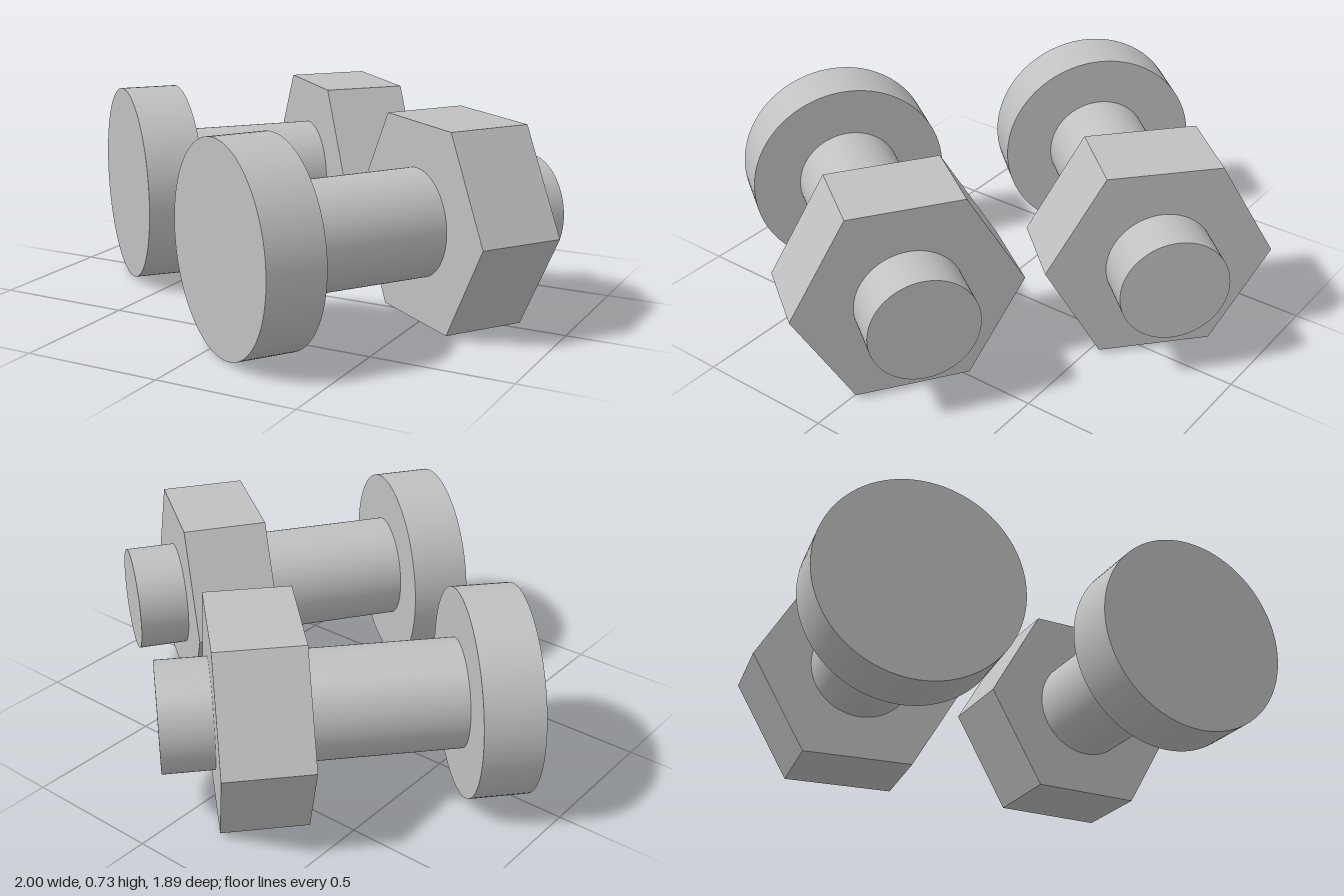
import * as THREE from 'three';

const steel = new THREE.MeshStandardMaterial({ color: 0xc0c0c0 });
steel.name = 'plain steel';

const AXIS_HEIGHT = 0.365;

// Disc or prism lying along z, from z0 to z1, with two corners pointing sideways
function barAlongZ(name, radius, z0, z1, sides, faceted = false) {
  let geometry = new THREE.CylinderGeometry(radius, radius, z1 - z0, sides, 1, false, Math.PI / 2);
  geometry.rotateX(Math.PI / 2);
  geometry.translate(0, 0, (z0 + z1) / 2);
  if (faceted) {
    geometry = geometry.toNonIndexed();
    geometry.computeVertexNormals();
  }
  const mesh = new THREE.Mesh(geometry, steel);
  mesh.name = name;
  return mesh;
}

// Bolt with its head face at (x, z), pointing along (dx, dz)
function makeBolt(name, x, z, dx, dz) {
  const bolt = new THREE.Group();
  bolt.name = name;
  bolt.add(
    barAlongZ('head', 0.364, 0, 0.207, 96),
    barAlongZ('shank', 0.191, 0.207, 1.229, 96),
    barAlongZ('hexNut', 0.404, 0.747, 1.05, 6, true)
  );
  bolt.position.set(x, AXIS_HEIGHT, z);
  bolt.rotation.y = Math.atan2(dx, dz);
  return bolt;
}

export function createModel() {
  const model = new THREE.Group();
  model.name = 'boltPair';
  model.add(
    makeBolt('rightBolt', -0.73, 0.105, 0.671, -0.742),
    makeBolt('leftBolt', 0.067, 0.735, 0.567, -0.824)
  );
  return model;
}
